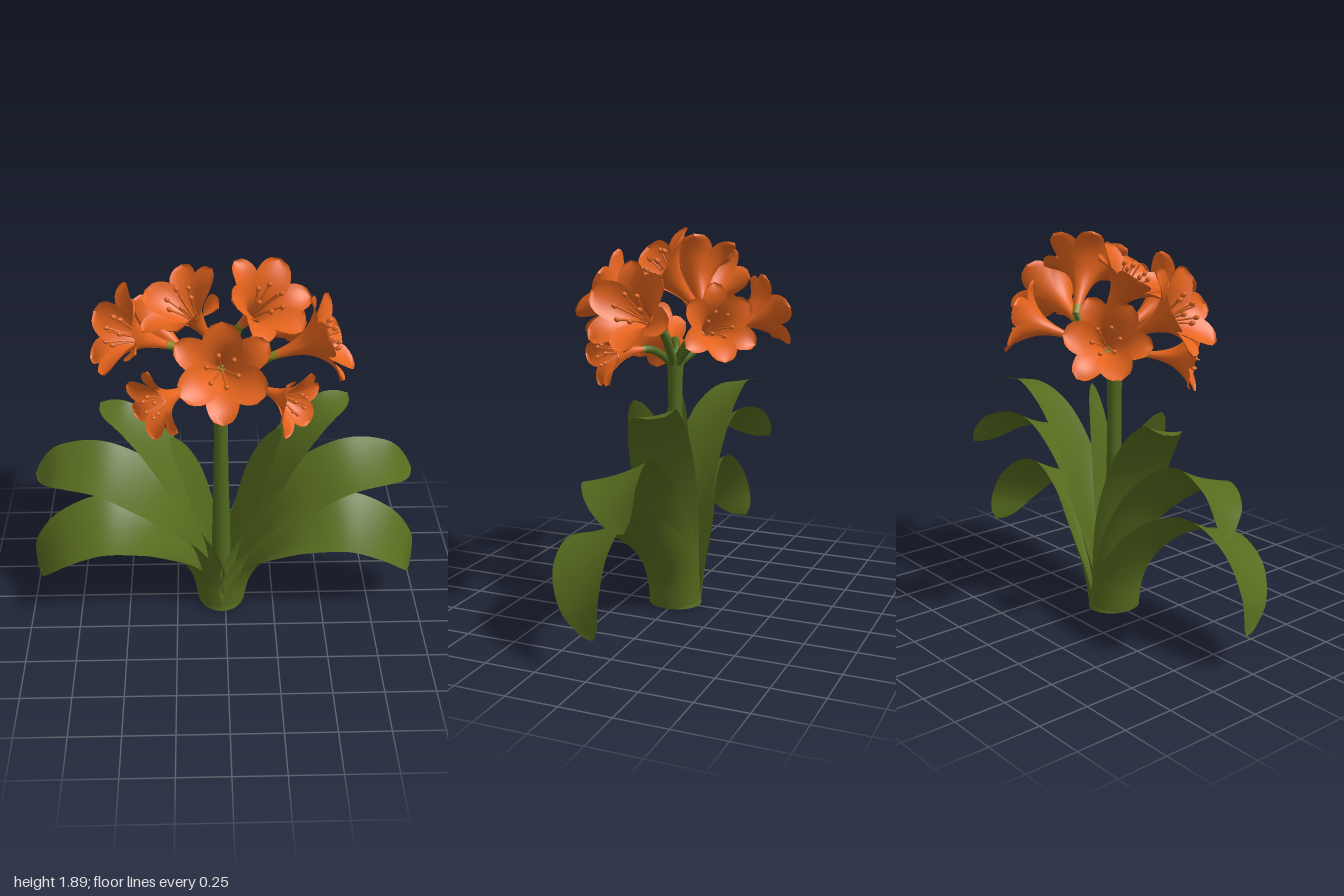
import * as THREE from 'three';

const mat = (name, color, side = THREE.FrontSide) => {
  const m = new THREE.MeshStandardMaterial({ color, side });
  m.name = name;
  return m;
};
const V = (x, y, z) => new THREE.Vector3(x, y, z);
const lerp = THREE.MathUtils.lerp;
const smooth = THREE.MathUtils.smoothstep;

// Smooth surface from a rule f(t, s), t in 0..1 along, s in -1..1 across
function sheet(nt, ns, f) {
  const pos = [], idx = [];
  for (let i = 0; i <= nt; i++)
    for (let j = 0; j <= ns; j++) {
      const p = f(i / nt, (j / ns) * 2 - 1);
      pos.push(p.x, p.y, p.z);
    }
  for (let i = 0; i < nt; i++)
    for (let j = 0; j < ns; j++) {
      const a = i * (ns + 1) + j, b = a + ns + 1;
      idx.push(a, b, a + 1, b, b + 1, a + 1);
    }
  const g = new THREE.BufferGeometry();
  g.setAttribute('position', new THREE.Float32BufferAttribute(pos, 3));
  g.setIndex(idx);
  g.computeVertexNormals();
  return g;
}

// Strap leaf: a channel that clasps the stalk at its base and flattens outwards
function leafGeometry(points, baseW, maxW, roll, side, lift) {
  const curve = new THREE.CatmullRomCurve3(points.map(p => V(...p)));
  return sheet(44, 12, (t, s) => {
    const c = curve.getPointAt(t), T = curve.getTangentAt(t);
    const S = V(0, 0, 1).addScaledVector(T, -T.z).normalize();
    const N = S.clone().cross(T);
    const r = roll * smooth(t, 0.15, 0.6);
    const across = S.clone().multiplyScalar(Math.cos(r)).addScaledVector(N, -Math.sin(r));
    const up = N.clone().multiplyScalar(Math.cos(r)).addScaledVector(S, Math.sin(r));
    const a = lerp(1.5, 0.15, smooth(t, 0, 0.6));
    const u = Math.max(0, (t - 0.55) / 0.45);
    const w = lerp(baseW, maxW, smooth(t, 0, 0.5)) * Math.pow(Math.max(0.0005, 1 - Math.pow(u, 2.3)), 0.58);
    c.addScaledVector(across, w * Math.sin(a * s) / a).addScaledVector(up, w * (1 - Math.cos(a * s)) / a);
    c.y = Math.max(0, c.y * lift);
    c.x = c.x * side - 0.02 * (1 - smooth(t, 0, 0.5));
    return c;
  });
}

// Petal: sweeps from the narrow tube out to the flared mouth, curved around the axis
function petalGeometry(profile, width) {
  const curve = new THREE.SplineCurve(profile.map(p => new THREE.Vector2(...p)));
  return sheet(16, 8, (t, s) => {
    const p = curve.getPoint(t);
    const u = Math.max(0, (t - 0.64) / 0.36);
    const w = lerp(0.02, width, smooth(t, 0.05, 0.72)) * Math.pow(Math.max(0.0005, 1 - u * u), 0.6);
    const phi = (w * s) / p.x;
    const h = p.y + 0.015 * s * s * smooth(t, 0.4, 0.9);
    return V(p.x * Math.sin(phi), h, p.x * Math.cos(phi));
  });
}

export function createModel() {
  const model = new THREE.Group();
  const leafMat = mat('leafGreen', 0x566b1e, THREE.DoubleSide);
  const stalkMat = mat('stalkGreen', 0x50681f);
  const collarMat = mat('collarOlive', 0x8f8420);
  const petalMat = mat('petalOrange', 0xe5641d, THREE.DoubleSide);
  const stamenMat = mat('stamenOrange', 0xdd6420);

  const add = (parent, name, geometry, material) => {
    const m = new THREE.Mesh(geometry, material);
    m.name = name;
    parent.add(m);
    return m;
  };

  // Leaves, in mirrored pairs from the lowest to the innermost
  const leaves = [
    { name: 'lowerLeaf', baseW: 0.205, maxW: 0.178, roll: 0.4, lift: 1, pts: [
      [0.12, 0, 0.01], [0.155, 0.16, 0.01], [0.25, 0.33, 0.03], [0.4, 0.48, 0.08], [0.6, 0.547, 0.12],
      [0.8, 0.465, 0.11], [0.93, 0.32, 0.05], [0.98, 0.185, -0.03]] },
    { name: 'middleLeaf', baseW: 0.18, maxW: 0.172, roll: 0.38, lift: 1, pts: [
      [0.085, 0, 0.01], [0.11, 0.2, 0.01], [0.2, 0.45, 0.02], [0.38, 0.69, 0.04], [0.6, 0.82, 0.03],
      [0.82, 0.79, -0.06], [0.965, 0.675, -0.17]] },
    { name: 'upperLeaf', baseW: 0.155, maxW: 0.15, roll: 0.36, lift: 0.965, pts: [
      [0.06, 0, 0], [0.08, 0.3, 0], [0.15, 0.56, -0.02], [0.27, 0.82, -0.04], [0.39, 0.99, -0.07],
      [0.5, 1.08, -0.12], [0.615, 1.105, -0.21]] },
    { name: 'innerLeaf', baseW: 0.13, maxW: 0.105, roll: 0.4, lift: 0.96, pts: [
      [0.045, 0, 0.01], [0.06, 0.3, 0.02], [0.11, 0.6, 0.04], [0.18, 0.88, 0.07], [0.265, 1.09, 0.1]] },
  ];
  for (const l of leaves)
    for (const side of [1, -1])
      add(model, (side > 0 ? 'left' : 'right') + l.name[0].toUpperCase() + l.name.slice(1),
        leafGeometry(l.pts, l.baseW, l.maxW, l.roll, side, side > 0 ? 1 : l.lift), leafMat);

  // Closed foot under the leaf bases
  const foot = add(model, 'foot', new THREE.CylinderGeometry(0.1, 0.118, 0.14, 40), leafMat);
  foot.position.set(-0.02, 0.07, 0.01);
  foot.scale.z = 1.15;

  // Flower stalk, flaring where the flower stems leave it
  const stalkProfile = [[0.05, 0.02], [0.047, 0.4], [0.038, 0.75], [0.034, 1.0], [0.037, 1.18], [0.046, 1.25], [0.035, 1.29], [0, 1.3]];
  const stalk = add(model, 'stalk', new THREE.LatheGeometry(stalkProfile.map(p => new THREE.Vector2(...p)), 24), stalkMat);
  stalk.position.set(-0.02, 0, 0.01);

  // Shared flower parts, the axis along +y
  const innerPetal = petalGeometry([[0.017, 0], [0.03, 0.09], [0.058, 0.18], [0.115, 0.255], [0.17, 0.295], [0.215, 0.315]], 0.098);
  const outerPetal = petalGeometry([[0.019, 0], [0.033, 0.09], [0.064, 0.175], [0.125, 0.245], [0.185, 0.278], [0.238, 0.282]], 0.08);
  const filament = new THREE.TubeGeometry(new THREE.CatmullRomCurve3(
    [V(0, 0.1, 0.012), V(0, 0.2, 0.03), V(0, 0.27, 0.055), V(0, 0.305, 0.07)]), 10, 0.0048, 6);
  const anther = new THREE.SphereGeometry(0.012, 10, 8);
  const pistil = new THREE.TubeGeometry(new THREE.CatmullRomCurve3(
    [V(0, 0.1, 0), V(0.004, 0.22, 0), V(0.018, 0.34, 0.01)]), 10, 0.005, 6);
  const collar = new THREE.CylinderGeometry(0.0225, 0.0195, 0.05, 14);

  // Flowers: mouth centre, facing direction, size, spin
  const flowers = [
    ['frontFlower', [-0.02, 1.565, 0.38], [0, 0.45, 0.89], 1, Math.PI],
    ['topLeftFlower', [0.2, 1.735, 0.02], [0.4, 0.7, 0.52], 0.98, 0.3],
    ['topRightFlower', [-0.205, 1.715, -0.02], [-0.43, 0.8, 0.32], 0.94, 0.8],
    ['leftFlower', [0.495, 1.55, 0.02], [0.9, 0.42, 0.12], 0.97, 0.2],
    ['rightFlower', [-0.505, 1.58, 0.02], [-0.8, 0.44, 0.36], 0.98, 0.5],
    ['lowerRightFlower', [-0.34, 1.3, 0.23], [-0.72, -0.06, 0.65], 0.75, 0.1],
    ['lowerLeftFlower', [0.33, 1.305, 0.23], [0.75, -0.05, 0.62], 0.72, 0.6],
    ['backRightFlower', [-0.38, 1.465, -0.34], [-0.68, 0.34, -0.6], 0.88, 0.4],
    ['backLeftFlower', [0.28, 1.47, -0.33], [0.66, 0.3, -0.62], 0.82, 0],
  ];
  for (const [name, mouth, facing, size, spin] of flowers) {
    const dir = V(...facing).normalize();
    const start = V(...mouth).addScaledVector(dir, -0.3 * size);
    const flower = new THREE.Group();
    flower.name = name;
    flower.position.copy(start);
    flower.scale.setScalar(size);
    // Keep the spin measured from a level horizontal axis
    const right = V(0, 1, 0).cross(dir).normalize();
    flower.quaternion.setFromRotationMatrix(new THREE.Matrix4().makeBasis(right, dir, right.clone().cross(dir)));
    flower.rotateY(spin);
    model.add(flower);
    for (let i = 0; i < 6; i++) {
      const turn = (i * Math.PI) / 3;
      add(flower, i % 2 ? 'outerPetal' : 'innerPetal', i % 2 ? outerPetal : innerPetal, petalMat).rotation.y = turn;
      add(flower, 'filament', filament, stamenMat).rotation.y = turn + 0.25;
      const tip = add(flower, 'anther', anther, stamenMat);
      tip.position.set(0.07 * Math.sin(turn + 0.25), 0.308, 0.07 * Math.cos(turn + 0.25));
      tip.scale.set(1, 1.4, 1);
    }
    add(flower, 'pistil', pistil, stamenMat);
    add(flower, 'collar', collar, collarMat).position.y = -0.005;

    // Stem from the stalk top to the flower
    const root = V(-0.02 + dir.x * 0.02, 1.22, 0.01 + dir.z * 0.02);
    const bend = start.clone().addScaledVector(dir, -0.07);
    const path = new THREE.QuadraticBezierCurve3(root, bend, start);
    add(model, name + 'Stem', new THREE.TubeGeometry(path, 14, 0.0185, 12), stalkMat);
  }
  return model;
}
